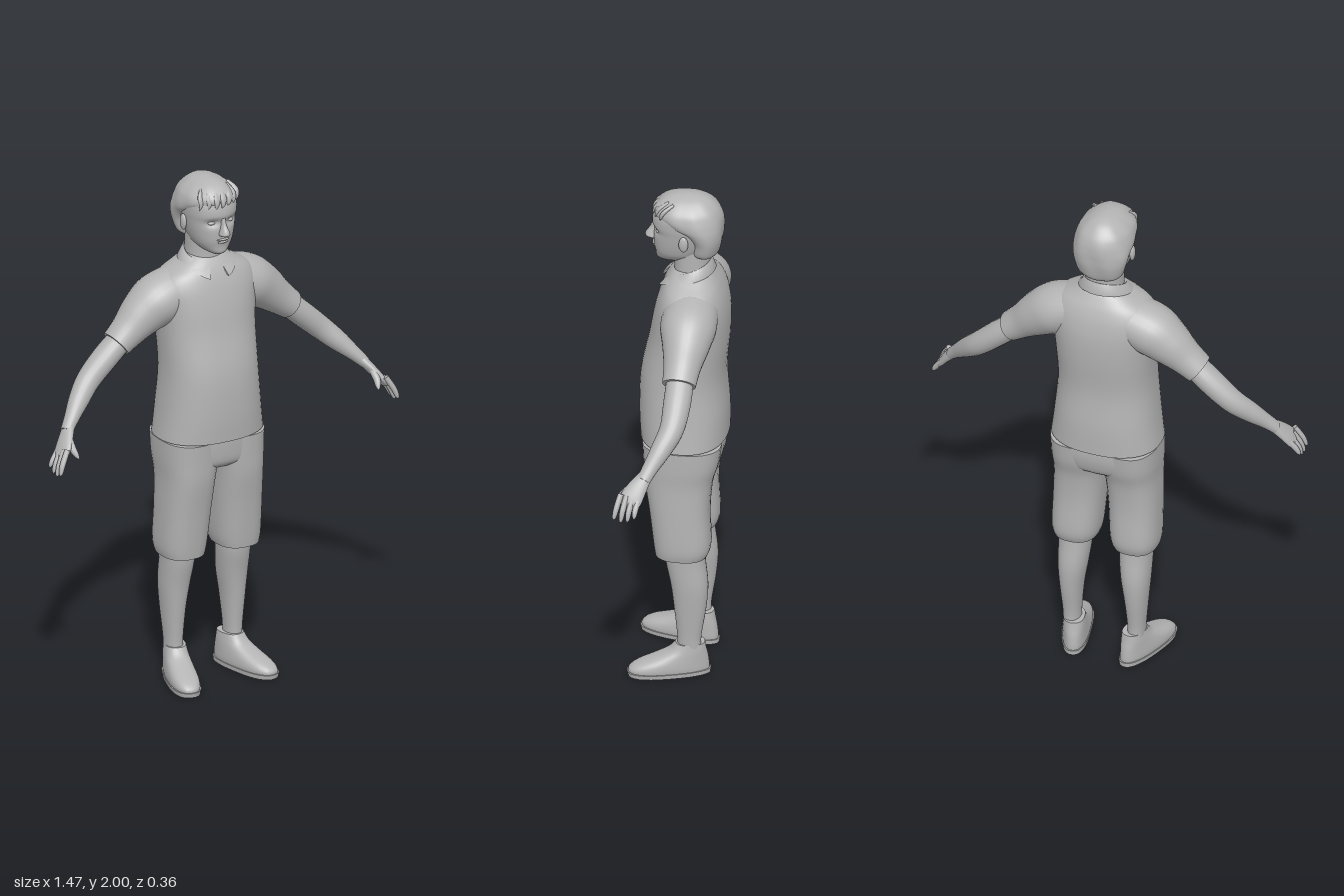
import * as THREE from 'three';

const grey = new THREE.MeshStandardMaterial({ color: 0xb4b4b4 });
grey.name = 'plain grey';

// Smoothly resample rows of numbers (Catmull-Rom on every column)
function resample(rows, steps) {
  const out = [], n = rows.length;
  for (let i = 0; i < n - 1; i++) {
    const [p, a, b, q] = [rows[Math.max(i - 1, 0)], rows[i], rows[i + 1], rows[Math.min(i + 2, n - 1)]];
    for (let s = 0; s < steps; s++) {
      const t = s / steps;
      out.push(a.map((v, k) => {
        const c1 = b[k] - p[k], c2 = 2 * p[k] - 5 * v + 4 * b[k] - q[k], c3 = 3 * (v - b[k]) + q[k] - p[k];
        return v + 0.5 * t * (c1 + t * (c2 + t * c3));
      }));
    }
  }
  out.push(rows[n - 1].slice());
  return out;
}

// Closed surface through rings of equal point count, with flat end caps
function skin(rings) {
  const n = rings[0].length, m = rings.length, pos = rings.flat(2), index = [];
  for (let i = 0; i < m - 1; i++) {
    for (let j = 0; j < n; j++) {
      const a = i * n + j, b = i * n + (j + 1) % n;
      index.push(a, a + n, b, b, a + n, b + n);
    }
  }
  for (const end of [0, m - 1]) {
    const ring = rings[end], base = pos.length / 3;
    pos.push(...ring.flat(), ...[0, 1, 2].map(k => ring.reduce((s, p) => s + p[k], 0) / n));
    for (let j = 0; j < n; j++) {
      const a = base + j, b = base + (j + 1) % n;
      index.push(base + n, ...(end ? [b, a] : [a, b]));
    }
  }
  const g = new THREE.BufferGeometry();
  g.setAttribute('position', new THREE.Float32BufferAttribute(pos, 3));
  g.setIndex(index);
  g.computeVertexNormals();
  return g;
}

const pow = (v, e) => Math.sign(v) * Math.abs(v) ** (2 / e);

// Horizontal sections, bottom to top: [y, x0, x1, z0, z1]; rule may shift a point
function stack(rows, { e = 2.2, seg = 32, steps = 5, rule = p => p } = {}) {
  return skin(resample(rows, steps).map(([y, x0, x1, z0, z1]) => Array.from({ length: seg }, (_, j) => {
    const t = j / seg * Math.PI * 2;
    const x = (x0 + x1) / 2 + (x1 - x0) / 2 * pow(Math.cos(t), e);
    const z = (z0 + z1) / 2 + (z1 - z0) / 2 * pow(Math.sin(t), e);
    return rule([x, y, z]);
  })));
}
const sym = rows => rows.map(([y, h, z0, z1]) => [y, -h, h, z0, z1]);

// Sections across a path: [x, y, z, radius up, radius in depth]
function limb(rows, seg = 20, steps = 5) {
  const r = resample(rows, steps);
  const at = i => new THREE.Vector3(...r[Math.min(Math.max(i, 0), r.length - 1)].slice(0, 3));
  return skin(r.map((row, i) => {
    const T = at(i + 1).sub(at(i - 1)).normalize();
    const U = T.clone().cross(new THREE.Vector3(0, 0, 1)).normalize(), V = U.clone().cross(T);
    return Array.from({ length: seg }, (_, j) => {
      const t = j / seg * Math.PI * 2;
      return at(i).addScaledVector(U, row[3] * Math.cos(t)).addScaledVector(V, row[4] * Math.sin(t)).toArray();
    });
  }));
}

function blob(x, y, z, a, b, c) {
  return new THREE.SphereGeometry(1, 18, 12).scale(a, b, c).translate(x, y, z);
}

function mirrored(g) {
  const m = g.clone().scale(-1, 1, 1), ix = m.index.array;
  for (let i = 0; i < ix.length; i += 3) [ix[i], ix[i + 1]] = [ix[i + 1], ix[i]];
  return m;
}

export function createModel() {
  const model = new THREE.Group();
  model.name = 'standing man';
  const add = (name, g) => {
    const mesh = new THREE.Mesh(g, grey);
    mesh.name = name;
    model.add(mesh);
  };
  const pair = (name, g) => { add(name + 'Left', g); add(name + 'Right', mirrored(g)); };

  // Head with eye sockets pressed in
  add('head', stack(sym([
    [1.713, 0.02, 0.01, 0.08], [1.725, 0.042, -0.05, 0.097], [1.75, 0.066, -0.08, 0.1], [1.775, 0.078, -0.1, 0.105],
    [1.81, 0.088, -0.12, 0.107], [1.85, 0.096, -0.135, 0.107], [1.88, 0.1, -0.14, 0.113], [1.92, 0.1, -0.14, 0.106],
    [1.96, 0.08, -0.115, 0.085], [1.985, 0.04, -0.07, 0.04],
  ]), {
    seg: 48, rule: ([x, y, z]) => {
      const socket = z > 0 ? 0.014 * Math.exp(-((Math.abs(x) - 0.038) ** 2 / 0.0005 + (y - 1.848) ** 2 / 0.0002)) : 0;
      return [x, y, z - socket];
    },
  }));
  add('nose', stack(sym([
    [1.794, 0.011, 0.08, 0.115], [1.803, 0.02, 0.08, 0.138], [1.818, 0.016, 0.08, 0.138],
    [1.842, 0.01, 0.08, 0.122], [1.868, 0.01, 0.08, 0.113],
  ]), { seg: 16 }));
  pair('eye', blob(0.038, 1.847, 0.083, 0.016, 0.008, 0.012));
  add('upperLip', blob(0, 1.78, 0.102, 0.026, 0.005, 0.011));
  add('lowerLip', blob(0, 1.77, 0.1, 0.022, 0.006, 0.011));
  pair('ear', blob(0.1, 1.83, -0.018, 0.01, 0.032, 0.018));
  add('neck', stack(sym([[1.6, 0.075, -0.11, 0.045], [1.68, 0.07, -0.105, 0.03], [1.78, 0.07, -0.11, 0.035]])));

  // Hair cap with shallow ridges, and locks over the forehead
  add('hair', stack(sym([
    [1.75, 0.06, -0.125, -0.04], [1.77, 0.085, -0.14, -0.035], [1.82, 0.1, -0.152, -0.035], [1.86, 0.109, -0.155, 0],
    [1.89, 0.112, -0.155, 0.06], [1.92, 0.108, -0.15, 0.102], [1.95, 0.095, -0.135, 0.1], [1.98, 0.062, -0.105, 0.07],
    [1.995, 0.03, -0.07, 0.03], [2, 0.006, -0.03, -0.01],
  ]), {
    seg: 48, rule: ([x, y, z]) => {
      const k = 1 + 0.012 * Math.sin(9 * Math.atan2(x, z + 0.03) + 25 * y);
      return [x * k, y, -0.03 + (z + 0.03) * k];
    },
  }));
  for (let i = -3; i <= 3; i++) {
    const x = i * 0.025, back = 0.004 * i * i;
    add('hairLock', limb([
      [x * 0.7 + 0.01, 1.975, 0.06 - back, 0.008, 0.006], [x + 0.004, 1.95, 0.095 - back, 0.013, 0.008],
      [x, 1.925, 0.107 - back, 0.01, 0.006], [x - 0.008, 1.908 + 0.006 * (i % 2), 0.108 - back, 0.001, 0.001],
    ], 10, 3));
  }

  // Shirt
  add('shirtBody', stack(sym([
    [0.985, 0.212, -0.176, 0.152], [1.1, 0.198, -0.176, 0.158], [1.25, 0.186, -0.166, 0.152], [1.4, 0.19, -0.178, 0.122],
    [1.5, 0.2, -0.179, 0.105], [1.57, 0.205, -0.168, 0.088], [1.62, 0.18, -0.15, 0.07], [1.655, 0.125, -0.13, 0.052],
    [1.68, 0.085, -0.112, 0.033], [1.695, 0.065, -0.095, 0.015],
  ]), { seg: 48, e: 2.35 }));
  pair('sleeve', limb([
    [0.1, 1.56, -0.05, 0.09, 0.1], [0.19, 1.527, -0.05, 0.098, 0.105], [0.258, 1.483, -0.05, 0.086, 0.088],
    [0.32, 1.432, -0.046, 0.067, 0.07], [0.375, 1.388, -0.043, 0.056, 0.063],
  ], 28));
  const collar = [];
  for (let i = 0; i <= 40; i++) {
    const f = 0.3 + i / 40 * (Math.PI * 2 - 0.6), s = Math.sin(f), c = Math.cos(f);
    const tip = 0.03 * Math.max(c, 0) ** 4;
    const top = [0.08 * s, 1.697 - 0.028 * c, -0.035 + 0.076 * c];
    const low = [(0.108 + tip) * s, 1.662 - 0.02 * c - tip, -0.02 + 0.106 * c];
    collar.push([low, top, top.map((v, k) => (k === 1 ? v - 0.002 : v * 0.93)), [low[0] * 0.92, low[1], low[2] - 0.008 * c]]);
  }
  add('collar', skin(collar));

  // Shorts
  add('shortsSeat', stack(sym([
    [0.865, 0.17, -0.13, 0.1], [0.89, 0.2, -0.152, 0.126], [0.95, 0.207, -0.166, 0.135], [1.03, 0.195, -0.165, 0.138],
  ]), { e: 2.4 }));
  pair('shortsLeg', stack([
    [0.51, 0.035, 0.2, -0.112, 0.083], [0.56, 0.024, 0.208, -0.125, 0.09], [0.7, 0.014, 0.206, -0.12, 0.107],
    [0.82, 0.004, 0.203, -0.13, 0.125], [0.9, -0.01, 0.207, -0.152, 0.13], [0.98, -0.01, 0.208, -0.163, 0.134],
  ], { e: 2.5 }));

  // Lower legs and shoes
  pair('lowerLeg', stack([
    [0.09, 0.095, 0.16, -0.09, 0], [0.16, 0.095, 0.162, -0.09, 0], [0.28, 0.085, 0.172, -0.108, 0.012],
    [0.38, 0.07, 0.18, -0.115, 0.025], [0.48, 0.06, 0.182, -0.105, 0.045], [0.56, 0.06, 0.185, -0.1, 0.05],
  ]));
  const widen = ([x, y, z]) => [x * (1 + 0.9 * (z + 0.02)), y, z];
  const place = g => g.rotateY(0.26).translate(0.122, 0, -0.04);
  pair('shoe', place(stack(sym([
    [0.012, 0.048, -0.08, 0.224], [0.03, 0.05, -0.08, 0.222], [0.05, 0.049, -0.078, 0.195], [0.075, 0.046, -0.074, 0.13],
    [0.1, 0.043, -0.068, 0.075], [0.13, 0.039, -0.062, 0.047],
  ]), { e: 2.4, rule: widen })));
  pair('sole', place(stack(sym([[0, 0.05, -0.084, 0.226], [0.018, 0.052, -0.085, 0.229]]), { e: 2.5, steps: 1, rule: widen })));

  // Arms and hands
  pair('arm', limb([
    [0.34, 1.415, -0.044, 0.046, 0.05], [0.42, 1.345, -0.044, 0.048, 0.052], [0.5, 1.272, -0.035, 0.045, 0.046],
    [0.56, 1.215, -0.004, 0.039, 0.039], [0.61, 1.165, 0.028, 0.028, 0.03], [0.645, 1.128, 0.05, 0.022, 0.026],
  ]));
  pair('palm', limb([
    [0.628, 1.147, 0.039, 0.02, 0.024], [0.665, 1.1, 0.072, 0.018, 0.038], [0.69, 1.065, 0.092, 0.015, 0.043],
    [0.702, 1.045, 0.1, 0.009, 0.036],
  ]));
  [1.008, 0.994, 0.99, 1.0].forEach((tipY, i) => {
    const y = 1.055 + 0.006 * i, z = 0.066 + 0.022 * i, tipZ = 0.074 + 0.025 * i;
    pair('finger', limb([
      [0.688, y + 0.015, z - 0.004, 0.011, 0.011], [0.715, (y + tipY) / 2 + 0.005, (z + tipZ) / 2, 0.011, 0.011],
      [0.727, tipY + 0.01, tipZ - 0.002, 0.008, 0.008], [0.731, tipY, tipZ, 0.002, 0.002],
    ], 12, 4));
  });
  pair('thumb', limb([
    [0.655, 1.115, 0.08, 0.015, 0.015], [0.658, 1.085, 0.112, 0.014, 0.015], [0.652, 1.062, 0.134, 0.01, 0.01],
    [0.648, 1.05, 0.146, 0.002, 0.002],
  ], 12, 4));

  return model;
}
